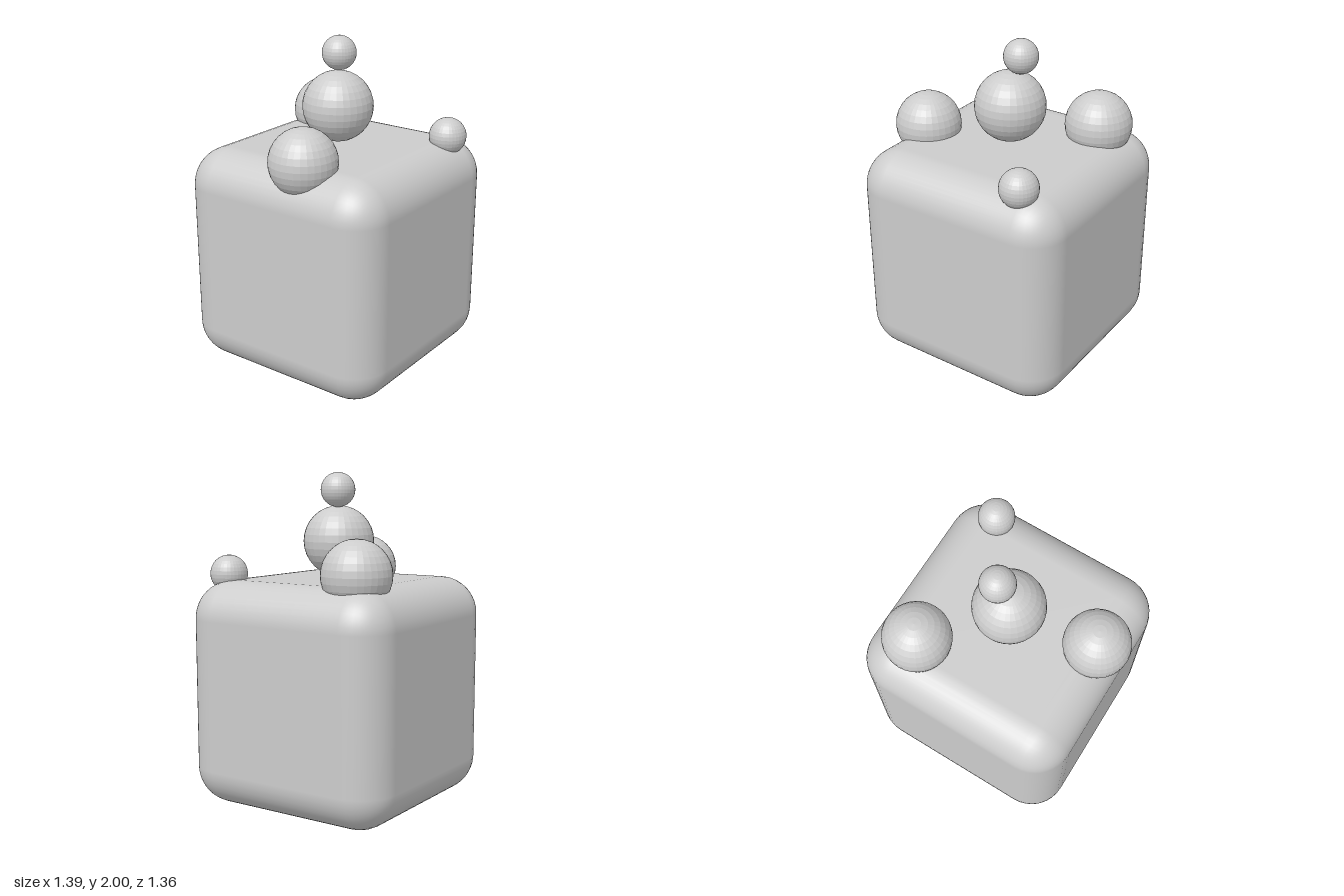
import * as THREE from 'three';
import { RoundedBoxGeometry } from 'three/addons/geometries/RoundedBoxGeometry.js';

export function createModel() {
  const model = new THREE.Group();
  model.name = 'cubeWithBalls';

  const grey = new THREE.MeshStandardMaterial({ color: 0xcccccc });
  grey.name = 'plain grey';
  const greyFaceted = grey.clone(); // same colour, faceted for the balls
  greyFaceted.name = 'plain grey faceted';
  greyFaceted.flatShading = true;

  // Smooth block with broad rounded edges
  const block = new THREE.Mesh(new RoundedBoxGeometry(1.36, 1.36, 1.36, 5, 0.23), grey);
  block.name = 'roundedBlock';
  block.position.set(0.012, 0.685, 0);
  model.add(block);

  // Faceted balls: name, radius, centre
  const balls = [
    ['centreBall', 0.213, 0.011, 1.59, 0],
    ['topBall', 0.103, 0.064, 1.897, -0.03],
    ['rightBall', 0.2, -0.497, 1.398, 0.135],
    ['backLeftBall', 0.204, 0.395, 1.428, -0.379],
    ['frontLeftBall', 0.113, 0.421, 1.397, 0.52],
  ];
  for (const [name, radius, x, y, z] of balls) {
    const ball = new THREE.Mesh(new THREE.SphereGeometry(radius, 32, 16), greyFaceted);
    ball.name = name;
    ball.position.set(x, y, z);
    model.add(ball);
  }
  return model;
}
